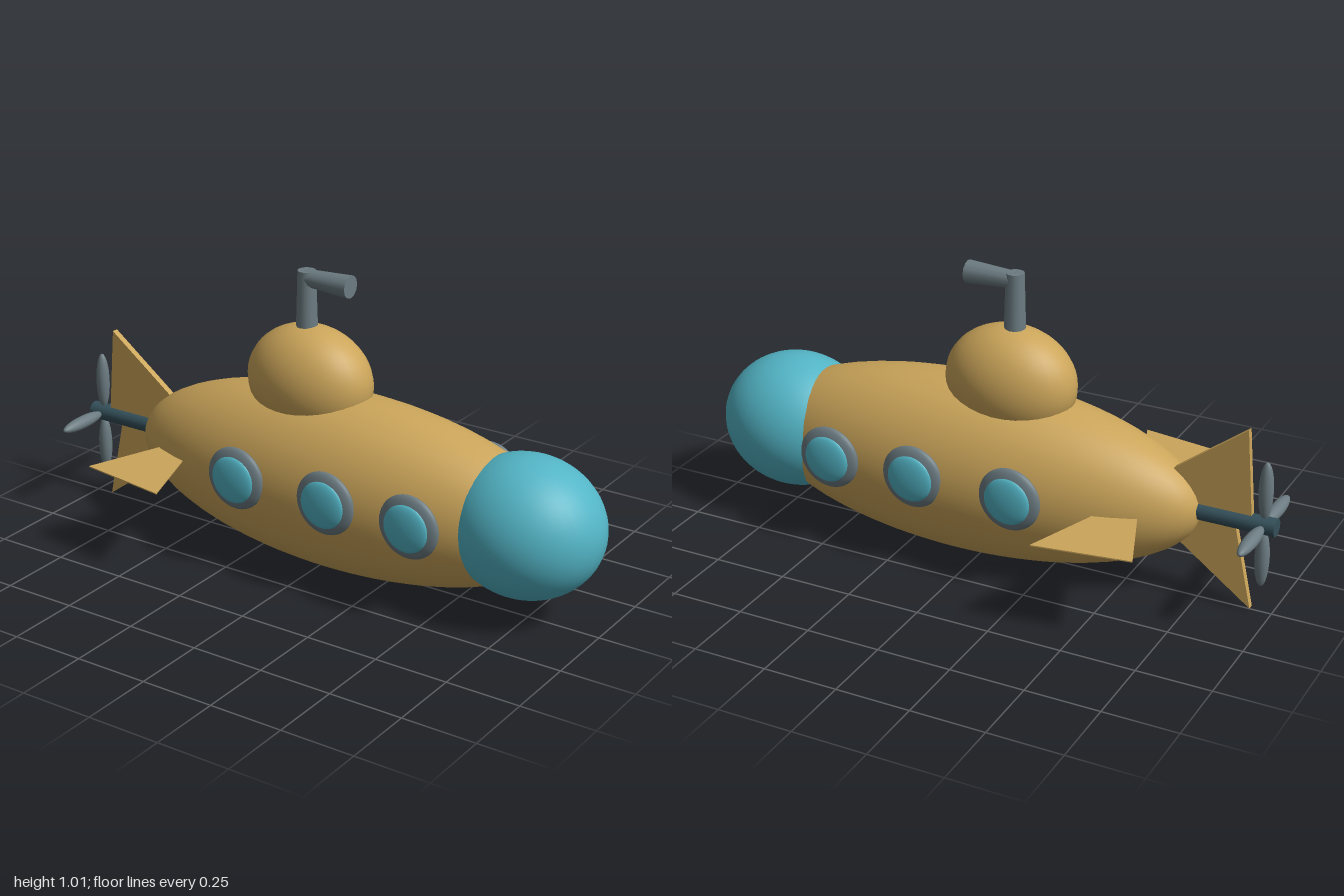
import * as THREE from 'three';

const mat = (name, color) => {
  const m = new THREE.MeshStandardMaterial({ color });
  m.name = name;
  return m;
};

export function createModel() {
  const group = new THREE.Group();
  group.name = 'submarine';
  const gold = mat('gold hull', 0xcba55a);
  const glass = mat('blue glass', 0x53b5c6);
  const grey = mat('grey metal', 0x6c7c82);
  const dark = mat('dark steel', 0x34505a);

  const add = (name, geometry, material, x = 0, y = 0, z = 0) => {
    const mesh = new THREE.Mesh(geometry, material);
    mesh.name = name;
    mesh.position.set(x, y, z);
    group.add(mesh);
    return mesh;
  };
  // Ellipsoid from a sphere, stretched to its three radii
  const ellipsoid = (rx, ry, rz, w = 32, h = 24) => new THREE.SphereGeometry(1, w, h).scale(rx, ry, rz);
  // Flat plate from an outline, centred on its thickness
  const plate = (points, depth) => new THREE.ExtrudeGeometry(
    new THREE.Shape(points.map(([x, y]) => new THREE.Vector2(x, y))),
    { depth, bevelEnabled: false }).translate(0, 0, -depth / 2);

  // Hull, nose dome and tower
  add('hull', ellipsoid(0.81, 0.302, 0.26, 48, 32), gold, 0.06, 0.307, 0);
  add('noseDome', ellipsoid(0.26, 0.232, 0.225, 40, 28), glass, 0.732, 0.318, 0);
  add('tower', ellipsoid(0.225, 0.188, 0.155), gold, -0.08, 0.628, 0);

  // Periscope
  add('periscopeTube', new THREE.CylinderGeometry(0.03, 0.037, 0.24, 12), grey, -0.092, 0.878, 0);
  add('periscopeHead', new THREE.CylinderGeometry(0.038, 0.028, 0.17, 12).rotateZ(-Math.PI / 2),
    grey, -0.01, 0.973, 0);

  for (const side of [1, -1]) {
    // Portholes
    for (const x of [-0.2, 0.148, 0.458]) {
      add('portholeRim', ellipsoid(0.107, 0.107, 0.03), grey, x, 0.34, side * 0.252);
      add('portholeGlass', ellipsoid(0.08, 0.08, 0.02), glass, x, 0.34, side * 0.27);
    }
    // Side fins
    const outline = [[-0.55, 0.03], [-0.69, 0.405], [-0.37, 0.453], [-0.52, 0.03]];
    add('sideFin', plate(outline.map(([x, z]) => [x, z * side]), 0.004).rotateX(Math.PI / 2),
      gold, 0, 0.316, 0);
  }

  // Tail fins
  add('upperTailFin', plate([[-0.895, 0.63], [-0.922, 0.31], [-0.5, 0.33]], 0.022), gold);
  add('lowerTailFin', plate([[-0.93, 0.012], [-0.865, 0.31], [-0.5, 0.33]], 0.022), gold);

  // Propeller shaft and four blades
  add('shaft', new THREE.CylinderGeometry(0.03, 0.03, 0.35, 16).rotateZ(Math.PI / 2), dark, -0.825, 0.313, 0);
  for (let i = 0; i < 4; i++) {
    const a = i * Math.PI / 2;
    const blade = add('propellerBlade', ellipsoid(0.024, 0.1, 0.022, 16, 16), grey,
      -0.958, 0.313 + 0.117 * Math.cos(a), 0.117 * Math.sin(a));
    blade.rotation.x = a;
  }
  return group;
}
